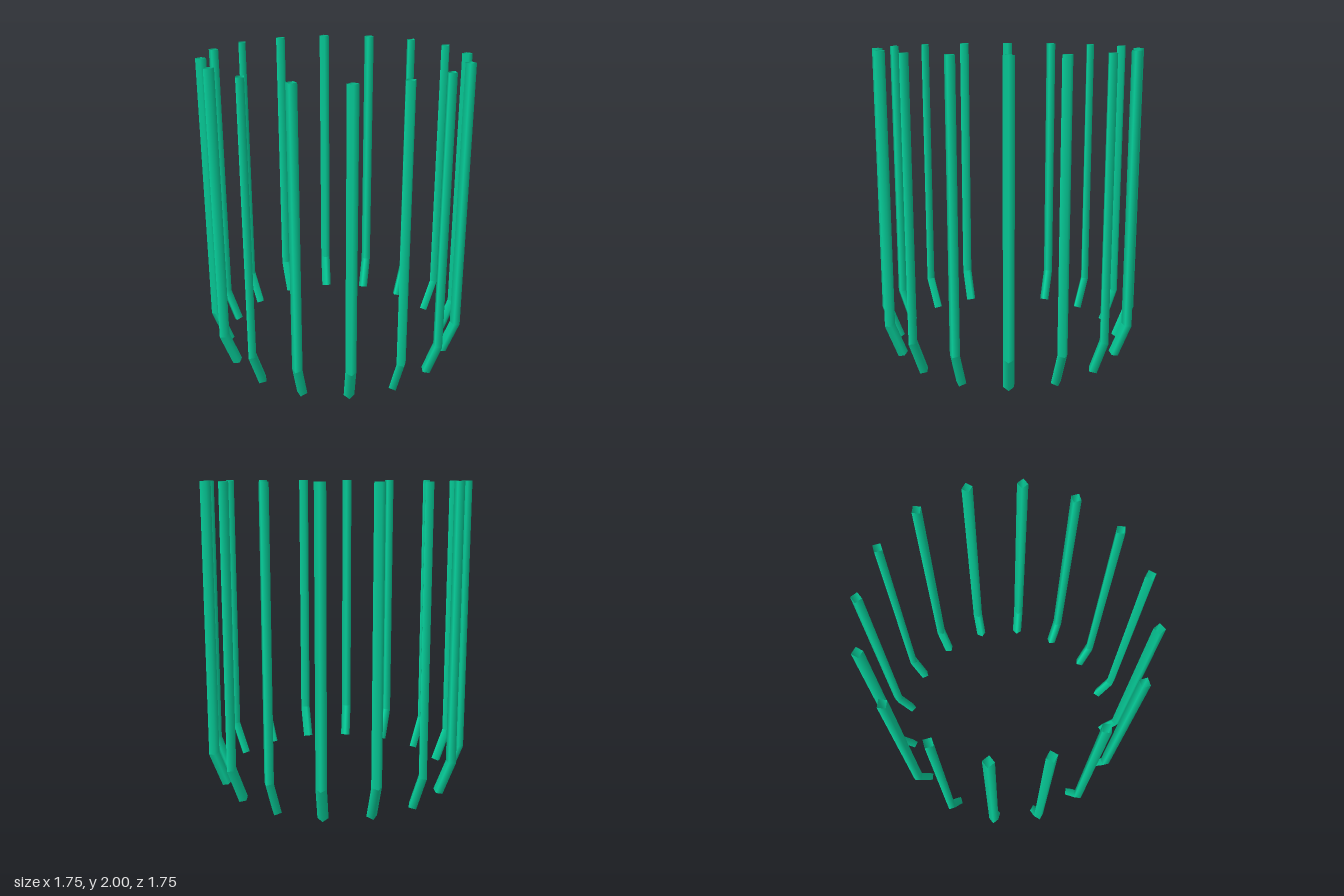
import * as THREE from 'three';

const COUNT = 16;
const HALF = 0.034;          // half diagonal of the diamond section
const RING = 0.84;           // distance of the shafts from the centre
const BEND_Y = 0.23;
const TILT = THREE.MathUtils.degToRad(21);

// Open four-sided tube: straight shaft with the foot bent towards the centre.
function rodGeometry() {
  const geo = new THREE.CylinderGeometry(HALF, HALF, 3, 4, 3, true);
  const pos = geo.attributes.position;
  const nor = geo.attributes.normal;
  // rows from the top: shaft top, bend (shaft side), bend (foot side), foot end
  const rows = [
    { x: RING, y: 2, cut: 0, lean: 0 },
    { x: RING, y: BEND_Y, cut: Math.tan(TILT / 2), lean: TILT / 2 },
    { x: RING, y: BEND_Y, cut: Math.tan(TILT / 2), lean: TILT / 2 },
    { x: 0.758, y: HALF * Math.sin(TILT), cut: Math.tan(TILT), lean: TILT },
  ];
  const normalTilt = [0, 0, TILT, TILT];
  for (let i = 0; i < pos.count; i++) {
    const k = Math.round(1.5 - pos.getY(i));
    const row = rows[k];
    const a = pos.getX(i);
    const b = pos.getZ(i);
    // the mitred ring keeps its full width, the foot end is cut square
    const across = k === 3 ? a * Math.cos(TILT) : a;
    pos.setXYZ(i, row.x + across, row.y - across * row.cut, b);
    const t = normalTilt[k];
    nor.setXYZ(i, (a / HALF) * Math.cos(t), -(a / HALF) * Math.sin(t), b / HALF);
  }
  return geo;
}

export function createModel() {
  const model = new THREE.Group();
  model.name = 'rodRing';
  const green = new THREE.MeshStandardMaterial({ color: 0x06d6a0, side: THREE.DoubleSide });
  green.name = 'emerald green';

  // Ring of identical rods
  const geo = rodGeometry();
  for (let i = 0; i < COUNT; i++) {
    const rod = new THREE.Mesh(geo, green);
    rod.name = `bentRod${i + 1}`;
    rod.rotation.y = (i / COUNT) * Math.PI * 2;
    model.add(rod);
  }
  return model;
}
